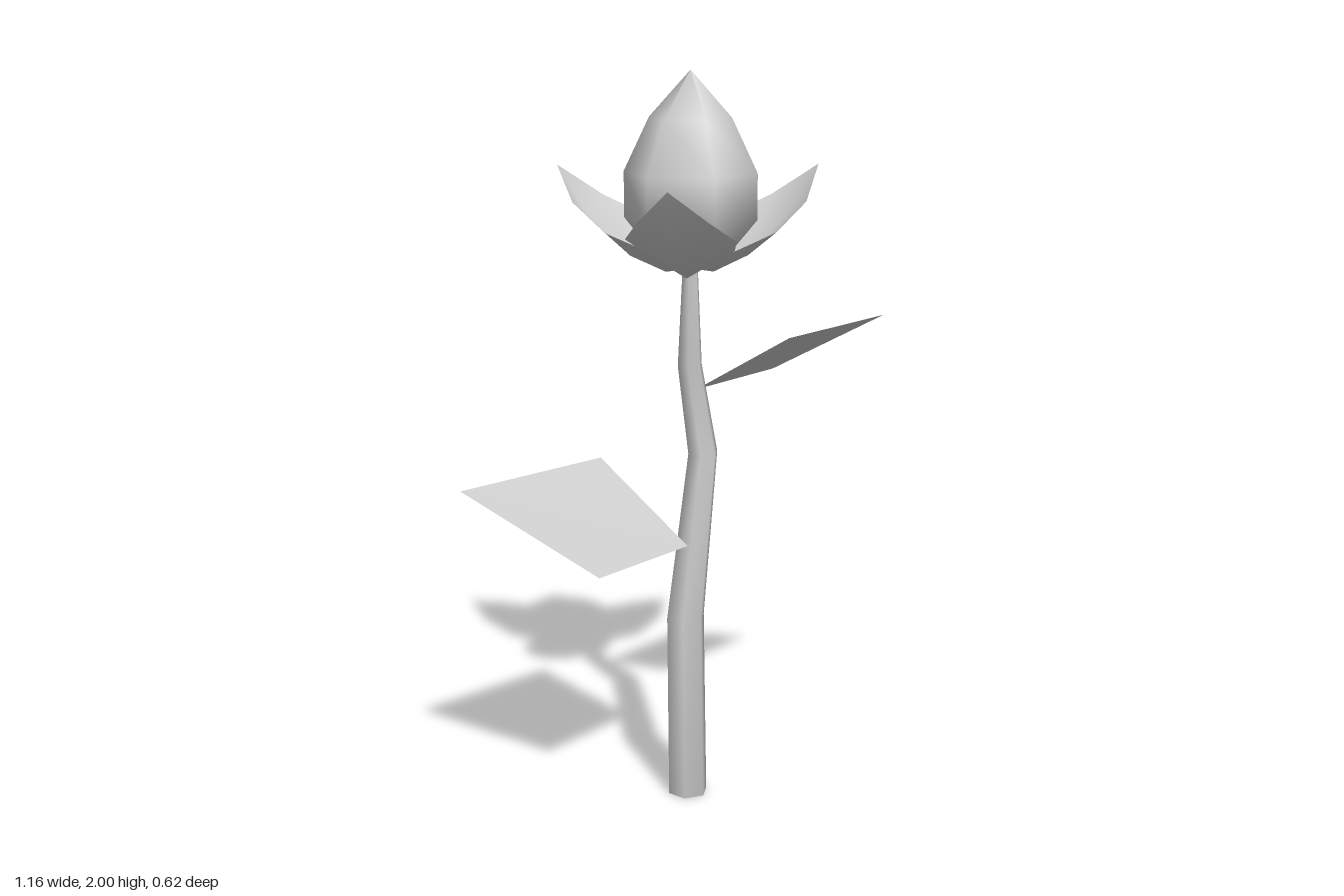
import * as THREE from 'three';
import { toCreasedNormals } from 'three/addons/utils/BufferGeometryUtils.js';

const solid = new THREE.MeshStandardMaterial({ color: 0xcccccc });
const thin = new THREE.MeshStandardMaterial({ color: 0xcccccc, side: THREE.DoubleSide });
const CX = 0.043, CZ = -0.035; // flower axis

function addMesh(parent, name, geometry, material) {
  const mesh = new THREE.Mesh(geometry, material);
  mesh.name = name;
  parent.add(mesh);
  return mesh;
}

function surface(points, index) {
  const g = new THREE.BufferGeometry();
  g.setAttribute('position', new THREE.Float32BufferAttribute(points.flat(), 3));
  g.setIndex(index);
  g.computeVertexNormals();
  return g;
}

// Crooked six-sided stem: every ring of a cylinder is moved to [x, y, z, radius]
function stemGeometry() {
  const rings = [
    [0.04, 0, -0.04, 0.056],
    [0.008, 0.55, 0.025, 0.053],
    [0.09, 0.98, -0.06, 0.042],
    [0.043, 1.23, -0.037, 0.034],
    [CX, 1.52, CZ, 0.02],
  ];
  const g = new THREE.CylinderGeometry(1, 1, 1, 6, rings.length - 1, false, Math.PI / 6);
  const p = g.attributes.position;
  for (let i = 0; i < p.count; i++) {
    const [x, y, z, r] = rings[Math.round((p.getY(i) + 0.5) * (rings.length - 1))];
    p.setXYZ(i, x + p.getX(i) * r, y, z + p.getZ(i) * r);
  }
  return toCreasedNormals(g, 1.25);
}

// Cupped petal pointing along +x; rows are [length, half width, rib height, edge height]
function petalGeometry() {
  const rows = [
    [0, 0.05, 1.49, 1.505],
    [0.07, 0.125, 1.475, 1.55],
    [0.175, 0.142, 1.51, 1.59],
    [0.3, 0.087, 1.61, 1.655],
  ];
  const points = [], index = [];
  rows.forEach(([l, w, rib, edge], i) => {
    points.push([l, edge, -w], [l, rib, 0], [l, edge, w]);
    if (i === 0) return;
    for (let k = 0; k < 2; k++) {
      const a = (i - 1) * 3 + k, b = a + 3;
      index.push(a, a + 1, b, a + 1, b + 1, b);
    }
  });
  const last = points.length - 3;
  points.push([0.392, 1.74, 0]);
  index.push(last, last + 1, last + 3, last + 1, last + 2, last + 3);
  return surface(points, index);
}

export function createModel() {
  const group = new THREE.Group();
  group.name = 'flower';

  addMesh(group, 'stem', stemGeometry(), solid);

  // Closed bud
  const profile = [[0, 1.49], [0.09, 1.515], [0.175, 1.62], [0.175, 1.74], [0.108, 1.88], [0, 2]]
    .map(([r, y]) => new THREE.Vector2(r, y));
  addMesh(group, 'bud', new THREE.LatheGeometry(profile, 6), solid).position.set(CX, 0, CZ);

  // Three open petals round the bud
  const petal = petalGeometry();
  for (const degrees of [8, 134, 241]) {
    const mesh = addMesh(group, 'petal', petal, thin);
    mesh.position.set(CX, 0, CZ);
    mesh.rotation.y = THREE.MathUtils.degToRad(degrees);
  }

  // Flat four-cornered leaves
  const quad = [0, 1, 2, 0, 2, 3];
  addMesh(group, 'leftLeaf', surface(
    [[0.08, 1.15, -0.085], [0.217, 1.34, 0.215], [0.58, 1.34, 0.026], [0.373, 1.15, -0.243]], quad), thin);
  addMesh(group, 'rightLeaf', surface(
    [[0.012, 0.75, 0.03], [-0.135, 0.935, -0.26], [-0.58, 0.935, -0.078], [-0.292, 0.75, 0.195]], quad), thin);

  return group;
}
